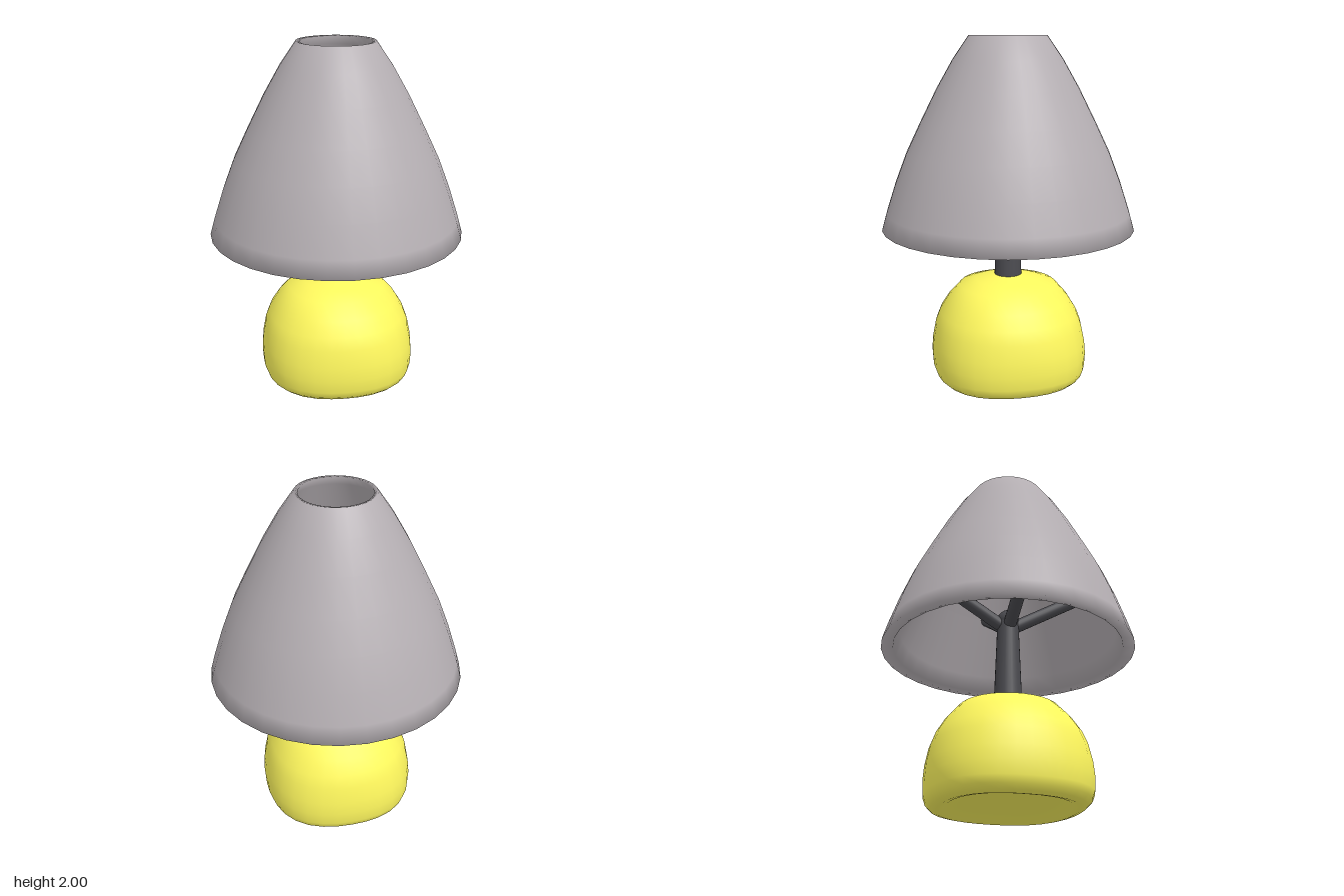
import * as THREE from 'three';
import { mergeVertices } from 'three/addons/utils/BufferGeometryUtils.js';

const SEGMENTS = 32;
const material = (color) => new THREE.MeshStandardMaterial({ color });
const points = (list) => list.map(([r, y]) => new THREE.Vector2(r, y));

// Lathe whose plan swells toward the diagonals, fading out at the given height
function squaredLathe(profile, swell, fadeHeight) {
  const lathe = new THREE.LatheGeometry(points(profile), SEGMENTS);
  const pos = lathe.attributes.position;
  for (let i = 0; i < pos.count; i++) {
    const x = pos.getX(i), y = pos.getY(i), z = pos.getZ(i);
    const diagonal = Math.sin(2 * Math.atan2(z, x)) ** 2;
    const k = 1 + swell * diagonal * (1 - (y / fadeHeight) ** 2);
    pos.setXYZ(i, x * k, y, z * k);
  }
  lathe.deleteAttribute('uv');
  lathe.deleteAttribute('normal');
  const smooth = mergeVertices(lathe);
  smooth.computeVertexNormals();
  return smooth;
}

export function createModel() {
  const lamp = new THREE.Group();
  lamp.name = 'tableLamp';
  const yellow = material(0xfff85e);
  const grey = material(0xb5afb3);
  const dark = material(0x4b4b50);

  const add = (name, geometry, mat, parent = lamp) => {
    const mesh = new THREE.Mesh(geometry, mat);
    mesh.name = name;
    parent.add(mesh);
    return mesh;
  };

  // Rounded, slightly square base with a shallow hollow underneath
  add('base', squaredLathe([
    [0, 0.05], [0.2, 0.045], [0.3, 0.028], [0.34, 0.008], [0.375, 0], [0.41, 0.01], [0.436, 0.035],
    [0.45, 0.075], [0.455, 0.15], [0.449, 0.23], [0.43, 0.33], [0.404, 0.4], [0.355, 0.48],
    [0.285, 0.56], [0.19, 0.59], [0.08, 0.62], [0, 0.62],
  ], 0.06, 0.62), yellow);

  // Tapered pole with a rounded top
  add('pole', new THREE.CylinderGeometry(0.062, 0.081, 0.54, 24), dark).position.y = 0.85;
  add('poleCap', new THREE.SphereGeometry(0.065, 24, 12), dark).position.y = 1.12;

  // Four sloping arms reaching the inside of the shade
  const arms = new THREE.Group();
  arms.name = 'shadeArms';
  lamp.add(arms);
  const start = new THREE.Vector3(0, 1.06, 0);
  for (let i = 0; i < 4; i++) {
    const a = i * Math.PI / 2;
    const end = new THREE.Vector3(0.5 * Math.cos(a), 1.36, 0.5 * Math.sin(a));
    const along = end.clone().sub(start);
    const arm = add('arm', new THREE.CylinderGeometry(0.038, 0.038, along.length(), 16), dark, arms);
    arm.position.copy(start).lerp(end, 0.5);
    arm.quaternion.setFromUnitVectors(new THREE.Vector3(0, 1, 0), along.normalize());
  }

  // Curved shade with a nearly conical inside:
  // down the lower inside, over the rim, up the outside, back down the upper inside
  const outer = [
    [0.73, 0.912], [0.702, 1.01], [0.646, 1.18], [0.58, 1.35],
    [0.498, 1.52], [0.402, 1.71], [0.31, 1.87], [0.22, 2],
  ];
  const lowerInside = [[0.485, 1.35], [0.625, 1.01], [0.662, 0.92]];
  const upperInside = [[0.198, 1.995], [0.225, 1.95], [0.345, 1.68], [0.485, 1.35]];
  const profile = [...lowerInside, ...outer, ...upperInside];
  add('shade', new THREE.LatheGeometry(points(profile), SEGMENTS), grey);

  return lamp;
}
